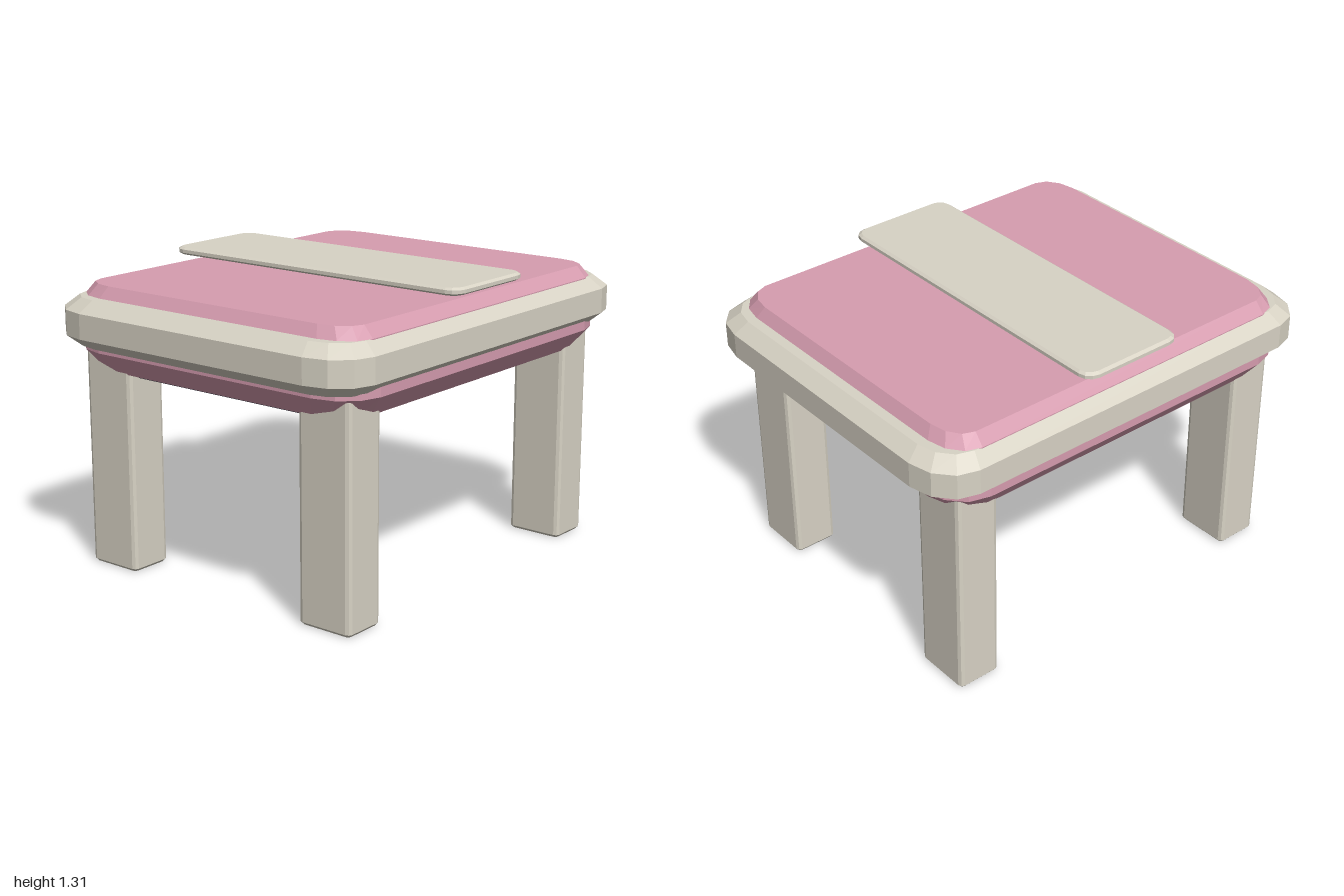
import * as THREE from 'three';

const material = (name, color) => {
  const m = new THREE.MeshStandardMaterial({ color, flatShading: true });
  m.name = name;
  return m;
};

// Outline of a rectangle with rounded corners, as [x, z] pairs
function outline(hx, hz, rx, rz, steps) {
  const pts = [];
  for (let q = 0; q < 4; q++) {
    const sx = q === 0 || q === 3 ? 1 : -1;
    const sz = q < 2 ? 1 : -1;
    for (let i = 0; i <= steps; i++) {
      const a = (q + i / steps) * Math.PI / 2;
      pts.push([sx * (hx - rx) + rx * Math.cos(a), sz * (hz - rz) + rz * Math.sin(a)]);
    }
  }
  return pts;
}

// Faceted slab lofted through levels [y, halfX, halfZ, cornerX, cornerZ], capped at both ends
function slab(levels, steps = 3) {
  const rings = levels.map(([y, hx, hz, rx, rz]) =>
    outline(hx, hz, rx, rz, steps).map(([x, z]) => [x, y, z]));
  const pos = [];
  const tri = (...pts) => pts.forEach((p) => pos.push(...p));
  const n = rings[0].length;
  const last = rings.length - 1;
  const bottom = [0, levels[0][0], 0];
  const top = [0, levels[last][0], 0];
  for (let j = 0; j < n; j++) {
    const k = (j + 1) % n;
    for (let i = 0; i < last; i++) {
      const lo = rings[i], hi = rings[i + 1];
      tri(lo[j], hi[j], lo[k]);
      tri(lo[k], hi[j], hi[k]);
    }
    tri(bottom, rings[0][j], rings[0][k]);
    tri(top, rings[last][k], rings[last][j]);
  }
  const g = new THREE.BufferGeometry();
  g.setAttribute('position', new THREE.Float32BufferAttribute(pos, 3));
  g.computeVertexNormals();
  return g;
}

export function createModel() {
  const model = new THREE.Group();
  model.name = 'table';
  const cream = material('cream', 0xd8d3c5);
  const pink = material('pink', 0xd79db0);
  const dark = material('darkPlum', 0x545061);

  const add = (name, geometry, mat) => {
    const mesh = new THREE.Mesh(geometry, mat);
    mesh.name = name;
    model.add(mesh);
    return mesh;
  };

  // Bevelled rim around the table top
  add('rim', slab([
    [0.99, 0.94, 0.755, 0.14, 0.17],
    [1.04, 1.0, 0.815, 0.18, 0.21],
    [1.15, 1.0, 0.815, 0.18, 0.21],
    [1.20, 0.94, 0.755, 0.14, 0.17],
  ]), cream);

  // Raised top panel
  add('topPanel', slab([
    [1.18, 0.895, 0.76, 0.13, 0.17],
    [1.20, 0.895, 0.76, 0.13, 0.17],
    [1.25, 0.863, 0.717, 0.10, 0.15],
  ]), pink);

  // Lower body with a chamfered underside
  add('lowerBody', slab([
    [0.88, 0.855, 0.71, 0.15, 0.18],
    [0.97, 0.92, 0.78, 0.18, 0.20],
    [1.02, 0.92, 0.78, 0.18, 0.20],
  ]), pink);

  // Dark plate on the underside
  add('undersidePlate', slab([
    [0.858, 0.80, 0.66, 0.10, 0.10],
    [0.89, 0.84, 0.70, 0.13, 0.13],
  ]), dark);

  // Four legs, deeper than wide
  const legGeometry = slab([
    [0, 0.09, 0.12, 0.015, 0.015],
    [0.012, 0.1, 0.13, 0.02, 0.02],
    [0.96, 0.1, 0.13, 0.02, 0.02],
    [0.972, 0.09, 0.12, 0.015, 0.015],
  ], 2);
  for (const [end, sz] of [['front', 1], ['back', -1]]) {
    for (const [side, sx] of [['Left', 1], ['Right', -1]]) {
      add(`${end}${side}Leg`, legGeometry, cream).position.set(sx * 0.76, 0, sz * 0.592);
    }
  }

  // Runner floating above the top
  add('runner', slab([
    [1.278, 0.238, 0.768, 0.05, 0.05],
    [1.287, 0.25, 0.782, 0.06, 0.06],
    [1.302, 0.25, 0.782, 0.06, 0.06],
    [1.311, 0.238, 0.768, 0.05, 0.05],
  ]), cream);

  return model;
}
